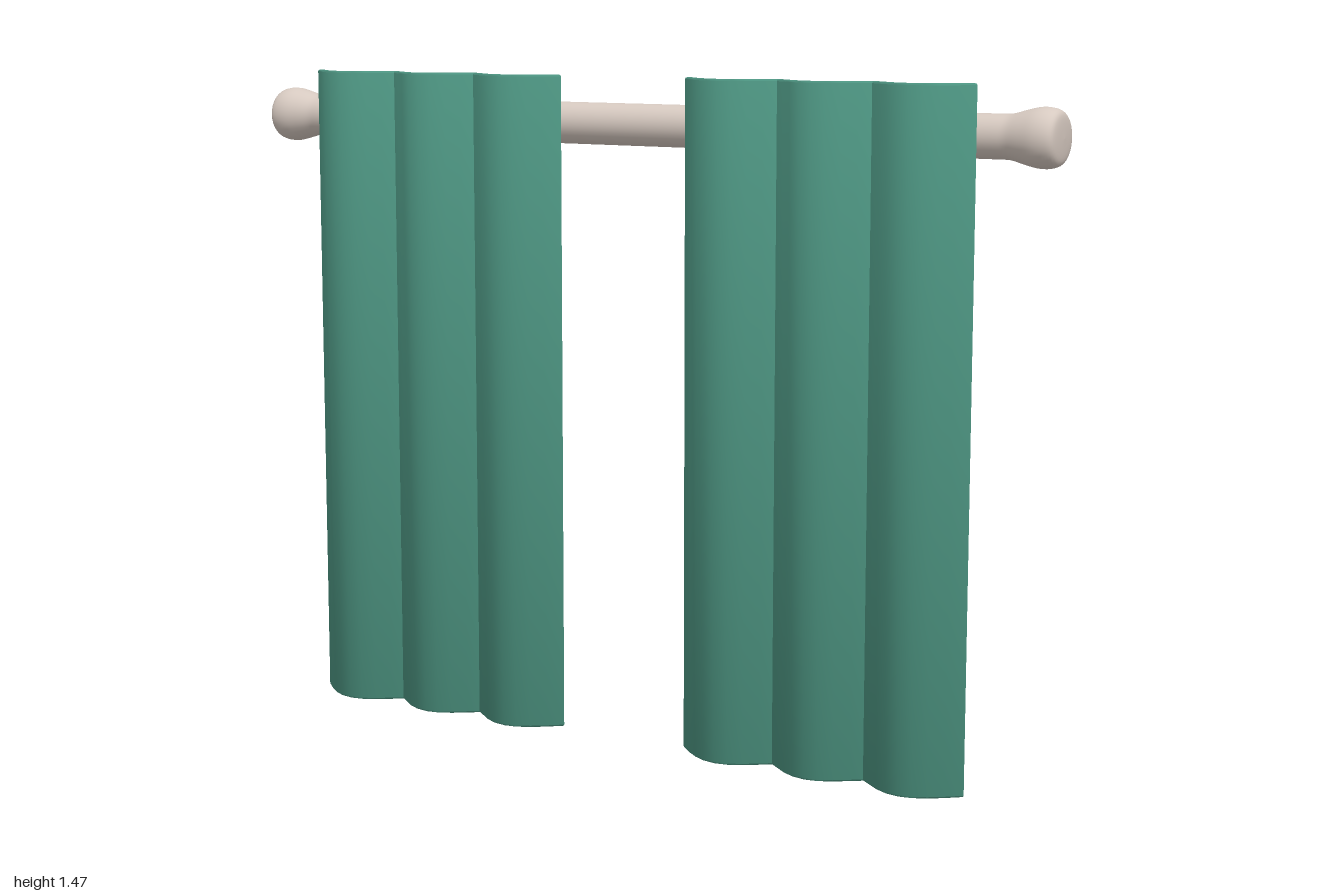
import * as THREE from 'three';
import { toCreasedNormals } from 'three/addons/utils/BufferGeometryUtils.js';

const ROD_Y = 1.362, ROD_Z = 0.043, ROD_R = 0.046;

export function createModel() {
  const group = new THREE.Group();
  const fabric = new THREE.MeshStandardMaterial({ color: 0x4c9380 });
  fabric.name = 'green fabric';
  const wood = new THREE.MeshStandardMaterial({ color: 0xd6c9c0, side: THREE.DoubleSide });
  wood.name = 'pale rod';

  const add = (name, geometry, material, x = 0, y = 0, z = 0) => {
    const mesh = new THREE.Mesh(geometry, material);
    mesh.name = name;
    mesh.position.set(x, y, z);
    group.add(mesh);
    return mesh;
  };

  // Straight rod
  const rod = new THREE.CylinderGeometry(ROD_R, ROD_R, 1.76, 32, 1, true).rotateZ(Math.PI / 2);
  add('rod', rod, wood, 0, ROD_Y, ROD_Z);

  // Flared end knob with a softly rounded, nearly flat tip
  const knobProfile = new THREE.SplineCurve([
    [ROD_R, 0.87], [0.047, 0.89], [0.055, 0.92], [0.0615, 0.95],
    [0.0605, 0.975], [0.053, 0.992], [0.035, 0.998], [0, 1],
  ].map(([r, h]) => new THREE.Vector2(r, h))).getPoints(24);
  knobProfile.forEach((p) => { p.x = Math.max(p.x, 0); p.y = Math.min(p.y, 1); });
  const knob = new THREE.LatheGeometry(knobProfile, 32);

  // Wavy panel section: three scallops with softened inner folds
  const x0 = 0.163, x1 = 0.835, half = 0.0035, bevel = 0.004, steps = 24;
  const centre = [];
  for (let i = 0; i <= steps; i++) {
    const t = i / steps;
    const wave = Math.abs(Math.sin(t * Math.PI * 3));
    const inner = i > 0 && i < steps && i % 8 === 0;
    centre.push(new THREE.Vector2(x0 + bevel + (x1 - x0 - 2 * bevel) * t,
      0.105 + 0.065 * (inner ? 0.07 : wave)));
  }
  const offset = (side) => centre.map((p, i) => {
    const a = centre[Math.max(i - 1, 0)], b = centre[Math.min(i + 1, steps)];
    const d = b.clone().sub(a).normalize();
    return new THREE.Vector2(p.x - d.y * side * half, -(p.y + d.x * side * half));
  });
  const outline = new THREE.Shape([...offset(1), ...offset(-1).reverse()]);
  const height = 1.47;
  const panel = toCreasedNormals(new THREE.ExtrudeGeometry(outline, {
    depth: height - 2 * bevel, bevelEnabled: true, bevelSize: bevel,
    bevelThickness: bevel, bevelSegments: 2,
  }).rotateX(-Math.PI / 2), 0.8);

  // Open wall bracket tube
  const bracket = new THREE.CylinderGeometry(0.03, 0.03, 0.188, 20, 1, true).rotateX(Math.PI / 2);

  for (const [side, s] of [['left', 1], ['right', -1]]) {
    add(side + 'Knob', knob, wood, 0, ROD_Y, ROD_Z).rotation.z = -s * Math.PI / 2;
    add(side + 'Bracket', bracket, wood, s * 0.827, ROD_Y, -0.084);
    // The section is symmetric, so the second panel is a shifted copy
    add(side + 'Curtain', panel, fabric, s > 0 ? 0 : -(x0 + x1), bevel, 0);
  }
  return group;
}
